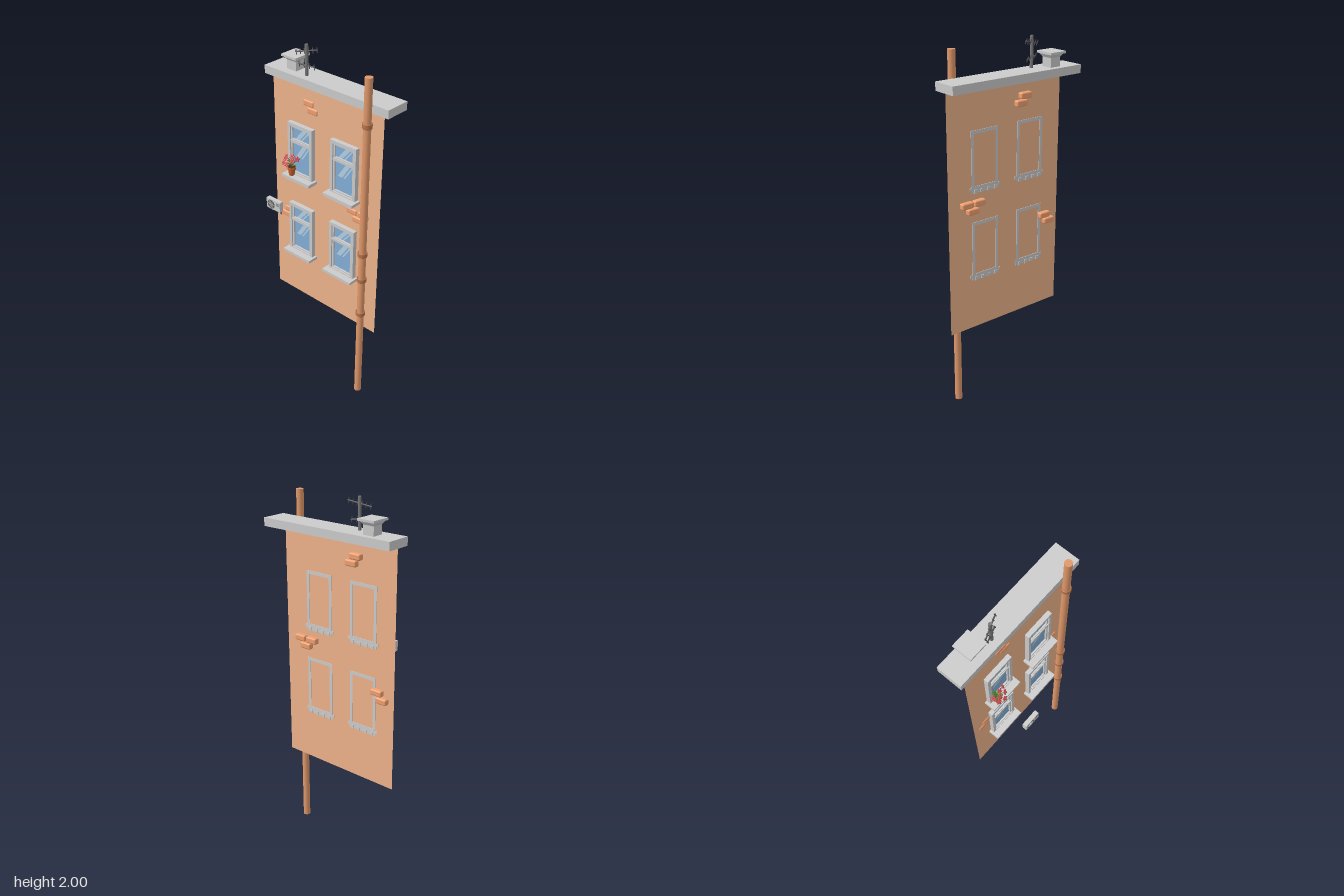
import * as THREE from 'three';
import { RoundedBoxGeometry } from 'three/addons/geometries/RoundedBoxGeometry.js';

const mat = (color, extra = {}) => new THREE.MeshStandardMaterial({ color, ...extra });
const M = {
  grey: mat(0xcccccc), dark: mat(0x555555), steel: mat(0x777777),
  wall: mat(0xeeb38a, { side: THREE.DoubleSide }),
  pipe: mat(0xe0986a), collar: mat(0xb8744c), brick: mat(0xf0a070),
  glass: mat(0x82aed6), shine: mat(0xb5d0e4, { side: THREE.DoubleSide }),
  pot: mat(0xc8622c), soil: mat(0x4a3020), flower: mat(0xd8505a, { side: THREE.DoubleSide }),
  leaf: mat(0x4f8a2c, { side: THREE.DoubleSide }),
};

function add(parent, name, geo, material, x = 0, y = 0, z = 0) {
  const m = new THREE.Mesh(geo, material);
  m.name = name;
  m.position.set(x, y, z);
  parent.add(m);
  return m;
}

// box given by its limits
function box(parent, name, material, x0, x1, y0, y1, z0, z1) {
  return add(parent, name, new THREE.BoxGeometry(x1 - x0, y1 - y0, z1 - z0), material,
    (x0 + x1) / 2, (y0 + y1) / 2, (z0 + z1) / 2);
}

// rod between two points
function rod(parent, name, material, a, b, r, sides = 6) {
  const d = b.clone().sub(a);
  const m = add(parent, name, new THREE.CylinderGeometry(r, r, d.length(), sides), material);
  m.position.copy(a).add(b).multiplyScalar(0.5);
  m.quaternion.setFromUnitVectors(new THREE.Vector3(0, 1, 0), d.normalize());
  return m;
}

function rect(path, x0, x1, y0, y1) {
  path.moveTo(x0, y0).lineTo(x1, y0).lineTo(x1, y1).lineTo(x0, y1).closePath();
  return path;
}

// frame with rectangular openings
function frame(parent, name, outer, holes, z0, z1) {
  const s = rect(new THREE.Shape(), ...outer);
  for (const h of holes) s.holes.push(rect(new THREE.Path(), ...h));
  return add(parent, name, new THREE.ExtrudeGeometry(s, { depth: z1 - z0, bevelEnabled: false }), M.grey, 0, 0, z0);
}

// origin at the bottom centre of the frame
function makeWindow(x, y) {
  const g = new THREE.Group();
  g.name = 'window';
  g.position.set(x, y, 0);
  frame(g, 'outerFrame', [-0.087, 0.087, 0, 0.307], [[-0.07, 0.07, 0.01, 0.289]], -0.063, -0.034);
  const panes = [[-0.06, 0.06, 0.018, 0.188], [-0.06, 0.06, 0.213, 0.28]];
  frame(g, 'sash', [-0.07, 0.07, 0.01, 0.289], panes, -0.058, -0.042);
  box(g, 'transom', M.grey, -0.07, 0.07, 0.193, 0.207, -0.058, -0.037);
  for (const [x0, x1, y0, y1] of panes) {
    box(g, 'glass', M.glass, x0, x1, y0, y1, -0.058, -0.052);
    const h = y1 - y0, lean = 0.055, low = y1 - Math.min(h, 0.085);
    for (const [o, w] of [[-0.045, 0.03], [-0.005, 0.01]]) {
      const s = new THREE.Shape();
      s.moveTo(o, low).lineTo(o + w, low).lineTo(Math.min(o + w + lean, x1), y1).lineTo(o + lean, y1);
      add(g, 'reflection', new THREE.ShapeGeometry(s), M.shine, 0, 0, -0.0512);
    }
  }
  // stepped sill with small blocks behind
  box(g, 'sill', M.grey, -0.101, 0.101, -0.012, 0.004, -0.063, 0.005);
  box(g, 'sillBase', M.grey, -0.088, 0.088, -0.026, -0.012, -0.063, -0.008);
  for (let i = 0; i < 4; i++) {
    const bx = -0.066 + i * 0.044;
    box(g, 'sillBlock', M.grey, bx - 0.008, bx + 0.008, -0.028, -0.008, -0.067, -0.03);
  }
  return g;
}

function makeChimney() {
  const g = new THREE.Group();
  g.name = 'chimney';
  g.position.set(-0.262, 1.835, -0.113);
  box(g, 'chimneyBody', M.grey, -0.032, 0.032, -0.005, 0.055, -0.032, 0.032);
  const flare = new THREE.CylinderGeometry(0.047 * Math.SQRT2, 0.032 * Math.SQRT2, 0.022, 4, 1).toNonIndexed();
  flare.rotateY(Math.PI / 4);
  flare.computeVertexNormals();
  add(g, 'chimneyFlare', flare, M.grey, 0, 0.06, 0);
  box(g, 'chimneyCap', M.grey, -0.051, 0.051, 0.068, 0.08, -0.054, 0.054);
  return g;
}

function makeAntenna() {
  const g = new THREE.Group();
  g.name = 'antenna';
  g.position.set(-0.155, 0, -0.081);
  const V = (x, y, z) => new THREE.Vector3(x, y, z);
  rod(g, 'mast', M.steel, V(0, 1.83, 0), V(0, 2, 0), 0.009, 10);
  for (const [y, half, tilt, n] of [[1.965, 0.058, 0.013, 6], [1.888, 0.042, -0.004, 4]]) {
    const at = t => V(half * t, y + tilt * t, -0.36 * half * t);
    rod(g, 'boom', M.dark, at(-1), at(1), 0.004);
    for (let i = 0; i < n; i++) {
      const p = at(-0.92 + 1.84 * i / (n - 1));
      rod(g, 'element', M.dark, p.clone().add(V(0.004, -0.014, 0.002)), p.clone().add(V(-0.004, 0.014, -0.002)), 0.0025, 5);
    }
  }
  return g;
}

function makeAirUnit() {
  const g = new THREE.Group();
  g.name = 'airConditioner';
  g.position.set(-0.168, 1.145, 0.147);
  box(g, 'casing', M.grey, -0.049, 0.049, 0, 0.058, 0.002, 0.026);
  const c = [-0.015, 0.029];
  add(g, 'fanWell', new THREE.CircleGeometry(0.024, 24), M.dark, ...c, 0.0265);
  add(g, 'fanRing', new THREE.TorusGeometry(0.024, 0.002, 6, 24), M.steel, ...c, 0.0265);
  add(g, 'fanGuard', new THREE.TorusGeometry(0.014, 0.001, 5, 20), M.grey, ...c, 0.0275);
  add(g, 'fanHub', new THREE.SphereGeometry(0.005, 10, 6), M.grey, ...c, 0.0265);
  for (let i = 0; i < 3; i++) {
    add(g, 'fanSpoke', new THREE.BoxGeometry(0.046, 0.002, 0.002), M.grey, ...c, 0.027).rotation.z = i * Math.PI / 3;
  }
  for (let i = 0; i < 3; i++) box(g, 'vent', M.dark, 0.022, 0.042, 0.034 + i * 0.006, 0.036 + i * 0.006, 0.026, 0.027);
  for (const x of [-0.033, 0.033]) {
    box(g, 'bracketArm', M.steel, x - 0.003, x + 0.003, -0.005, 0, -0.002, 0.026);
    box(g, 'bracketLeg', M.steel, x - 0.003, x + 0.003, -0.027, 0.04, -0.002, 0.002);
    rod(g, 'bracketBrace', M.steel, new THREE.Vector3(x, -0.024, 0), new THREE.Vector3(x, -0.003, 0.018), 0.002);
  }
  return g;
}

function makePlant() {
  const g = new THREE.Group();
  g.name = 'pottedFlower';
  g.position.set(-0.215, 1.261, -0.02);
  add(g, 'pot', new THREE.CylinderGeometry(0.021, 0.015, 0.04, 16), M.pot, 0, 0.02, 0);
  add(g, 'potRim', new THREE.CylinderGeometry(0.024, 0.024, 0.012, 16), M.pot, 0, 0.044, 0);
  add(g, 'soil', new THREE.CircleGeometry(0.021, 16).rotateX(-Math.PI / 2), M.soil, 0, 0.0505, 0);
  const heads = [[-0.035, 0.103, 0.008], [-0.01, 0.118, 0.03], [0.008, 0.085, 0.045], [0.03, 0.103, 0.028],
    [0.043, 0.11, 0], [-0.025, 0.083, 0.035], [0.012, 0.119, 0.008]];
  for (const h of heads) {
    const end = new THREE.Vector3(...h);
    const curve = new THREE.QuadraticBezierCurve3(new THREE.Vector3(0, 0.048, 0), new THREE.Vector3(h[0] * 0.3, h[1] * 0.9, h[2] * 0.3), end);
    add(g, 'stem', new THREE.TubeGeometry(curve, 6, 0.0015, 5), M.leaf);
    // five petals around a small centre
    const bloom = new THREE.Group();
    bloom.name = 'bloom';
    bloom.position.copy(end);
    bloom.lookAt(end.clone().add(new THREE.Vector3(h[0], 0.03, h[2] + 0.02)));
    for (let i = 0; i < 5; i++) {
      const a = i * Math.PI * 0.4;
      const p = add(bloom, 'petal', new THREE.SphereGeometry(0.008, 8, 5), M.flower, 0.009 * Math.cos(a), 0.009 * Math.sin(a), 0);
      p.scale.set(1, 0.65, 0.4);
      p.rotation.z = a;
    }
    add(bloom, 'bloomCentre', new THREE.SphereGeometry(0.004, 8, 5), M.flower, 0, 0, 0.002);
    g.add(bloom);
  }
  for (let i = 0; i < 9; i++) {
    const a = i * 2.4, r = 0.012 + 0.002 * (i % 4);
    const l = add(g, 'leaf', new THREE.SphereGeometry(0.014, 7, 5), M.leaf, r * Math.cos(a), 0.06 + 0.005 * i, r * Math.sin(a));
    l.scale.set(1, 0.2, 0.5);
    l.rotation.set(0, -a, 0.5);
  }
  return g;
}

export function createModel() {
  const g = new THREE.Group();
  g.name = 'houseFacade';

  add(g, 'wall', new THREE.PlaneGeometry(0.745, 1.345), M.wall, -0.002, 1.1205, -0.06);
  box(g, 'roofSlab', M.grey, -0.413, 0.41, 1.79, 1.835, -0.177, -0.035);

  for (const x of [-0.167, 0.135]) for (const y of [1.256, 0.76]) g.add(makeWindow(x, y));

  // exposed bricks, by lower left corner
  const bricks = [[-0.16, 1.68], [-0.133, 1.642], [0.146, 1.16], [0.225, 1.16], [0.188, 1.121], [-0.307, 0.98], [-0.339, 0.941]];
  for (const [x, y] of bricks) {
    add(g, 'brick', new RoundedBoxGeometry(0.072, 0.034, 0.034, 2, 0.008), M.brick, x + 0.036, y + 0.017, -0.071);
  }

  // drainpipe with collars
  add(g, 'drainpipe', new THREE.CylinderGeometry(0.02, 0.02, 1.975, 20), M.pipe, 0.3, 0.9875, -0.018);
  for (const y of [1.728, 0.978, 0.812, 0.58]) {
    add(g, 'pipeCollar', new THREE.CylinderGeometry(0.026, 0.026, 0.018, 20), M.collar, 0.3, y, -0.018);
    for (const s of [-1, 1]) {
      add(g, 'collarRim', new THREE.TorusGeometry(0.0235, 0.003, 6, 20).rotateX(Math.PI / 2), M.collar, 0.3, y + s * 0.01, -0.018);
    }
  }

  g.add(makeChimney(), makeAntenna(), makeAirUnit(), makePlant());
  return g;
}
